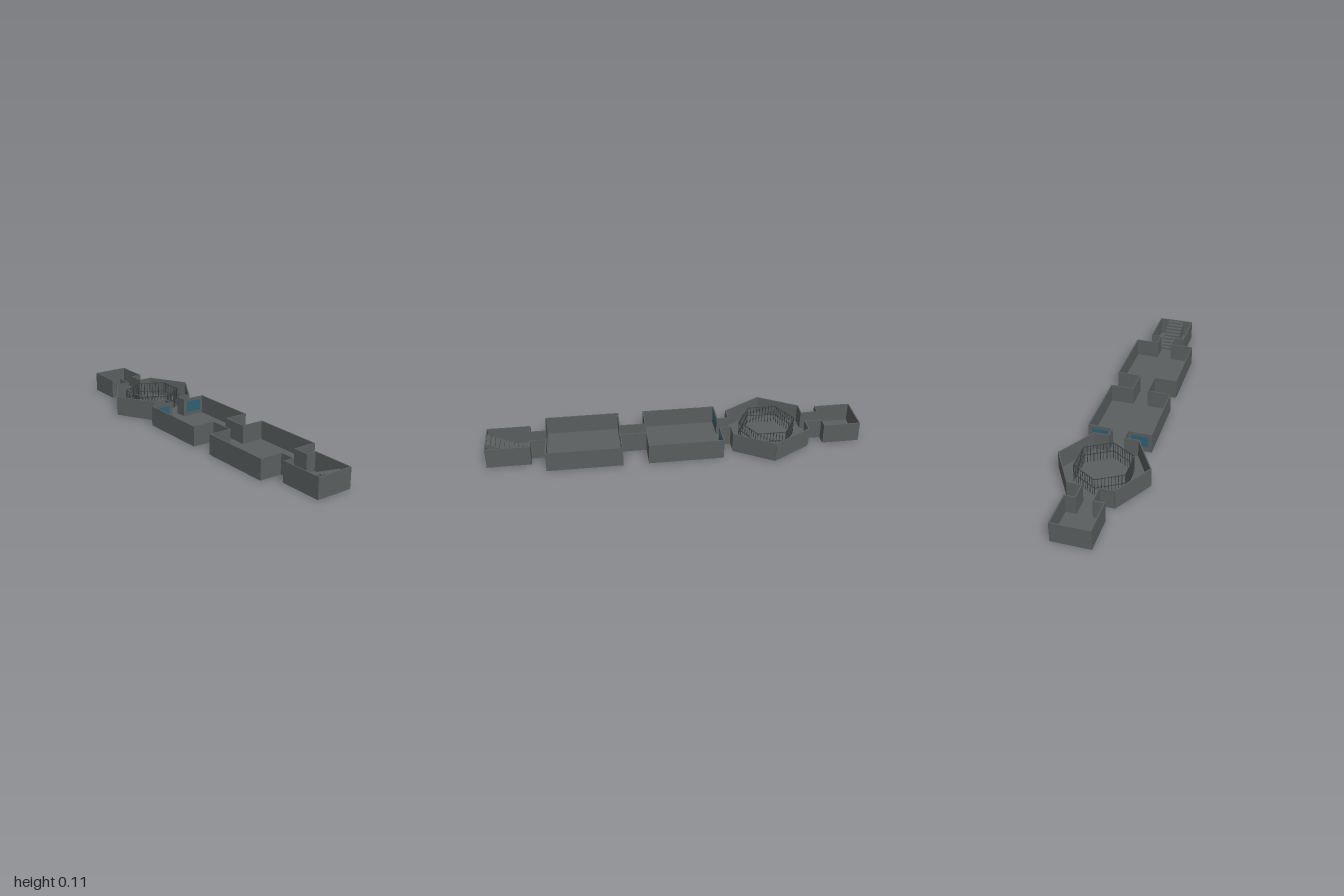
import * as THREE from 'three';

const H = 0.11;      // wall height
const T = 0.006;     // wall thickness
const DOOR = 0.043;  // half width of doorways and corridors
const FLOOR = 0.01;

export function createModel() {
  const model = new THREE.Group();
  const mat = (name, color) => {
    const m = new THREE.MeshStandardMaterial({ color });
    m.name = name;
    return m;
  };
  const stone = mat('grey stone', 0x5a5e5e);
  const metal = mat('dark metal', 0x3c4142);
  const glass = mat('teal glass', 0x2f5f73);

  const box = (parent, name, m, w, h, d, x, y, z) => {
    const mesh = new THREE.Mesh(new THREE.BoxGeometry(w, h, d), m);
    mesh.name = name;
    mesh.position.set(x, y, z);
    parent.add(mesh);
    return mesh;
  };

  // Upright panel running between two plan points
  const panel = (parent, name, m, a, b, y0, y1, t) => {
    const dx = b[0] - a[0], dz = b[1] - a[1];
    const mesh = box(parent, name, m, Math.hypot(dx, dz) + t * 0.9, y1 - y0, t,
      (a[0] + b[0]) / 2, (y0 + y1) / 2, (a[1] + b[1]) / 2);
    mesh.rotation.y = -Math.atan2(dz, dx);
    return mesh;
  };
  const wall = (parent, a, b, y0 = 0) => panel(parent, 'wall', stone, a, b, y0, H, T);

  // End wall across x, with or without a central doorway
  const endWall = (parent, x, half, door, y0 = 0) => {
    if (!door) return wall(parent, [x, -half], [x, half], y0);
    for (const s of [-1, 1]) wall(parent, [x, s * DOOR], [x, s * half], y0);
  };

  const room = (name, x0, x1, half, doorLow, doorHigh) => {
    const g = new THREE.Group();
    g.name = name;
    box(g, 'floor', stone, x1 - x0, FLOOR, half * 2, (x0 + x1) / 2, FLOOR / 2, 0);
    for (const s of [-1, 1]) wall(g, [x0, s * half], [x1, s * half]);
    endWall(g, x0, half, doorLow);
    endWall(g, x1, half, doorHigh);
    model.add(g);
    return g;
  };

  const corridor = (x0, x1) => {
    const g = new THREE.Group();
    g.name = 'corridor';
    box(g, 'corridorFloor', stone, x1 - x0, FLOOR, DOOR * 2, (x0 + x1) / 2, FLOOR / 2, 0);
    for (const s of [-1, 1]) wall(g, [x0, s * DOOR], [x1, s * DOOR]);
    model.add(g);
  };

  // Rectangular rooms and the corridors joining them
  room('entryRoom', -0.997, -0.803, 0.098, false, true);
  const hallA = room('windowHall', -0.24, 0.153, 0.168, true, true);
  room('secondHall', 0.293, 0.687, 0.168, true, true);
  const stairRoom = room('stairRoom', 0.77, 0.997, 0.098, true, false);
  [[-0.803, -0.71], [-0.302, -0.24], [0.153, 0.293], [0.687, 0.77]]
    .forEach(([a, b]) => corridor(a, b));

  // Windows beside the doorway facing the hexagonal chamber
  for (const s of [-1, 1]) box(hallA, 'window', glass, T + 0.003, 0.06, 0.09, -0.24, 0.062, s * 0.105);

  // Staircase climbing toward the far end wall
  const steps = 9, run = 0.205 / steps;
  for (let i = 0; i < steps; i++) {
    const h = (i + 1) * (0.095 / steps);
    box(stairRoom, 'step', stone, run, h, 0.095, 0.79 + run * (i + 0.5), FLOOR + h / 2, 0);
  }

  // Hexagonal chamber
  const chamber = new THREE.Group();
  chamber.name = 'hexagonalChamber';
  model.add(chamber);
  const cx = -0.506, R = 0.236;
  const ring = (r, offset) => Array.from({ length: 6 }, (_, i) => {
    const a = offset + i * Math.PI / 3;
    return [cx + r * Math.cos(a), r * Math.sin(a)];
  });
  const floor = new THREE.Mesh(new THREE.CylinderGeometry(R, R, FLOOR, 6).toNonIndexed(), stone);
  floor.geometry.computeVertexNormals();
  floor.name = 'chamberFloor';
  floor.position.set(cx, FLOOR / 2, 0);
  chamber.add(floor);
  const outer = ring(R, Math.PI / 6);
  outer.forEach((a, i) => {
    const b = outer[(i + 1) % 6];
    if (Math.abs(a[0] - b[0]) < 1e-6) endWall(chamber, a[0], Math.abs(a[1]), true, 0.008);
    else wall(chamber, a, b, 0.008);
  });

  // Barred cage inside the chamber
  const cage = new THREE.Group();
  cage.name = 'cage';
  chamber.add(cage);
  const inner = ring(0.152, 0), bars = 9;
  inner.forEach((a, i) => {
    const b = inner[(i + 1) % 6];
    for (const y of [0.055, 0.106]) panel(cage, 'rail', metal, a, b, y, y + 0.003, 0.003);
    for (let k = 0; k < bars; k++) {
      const t = k / bars;
      box(cage, 'bar', metal, 0.003, H - FLOOR, 0.003,
        a[0] + (b[0] - a[0]) * t, (H + FLOOR) / 2, a[1] + (b[1] - a[1]) * t);
    }
  });

  return model;
}
